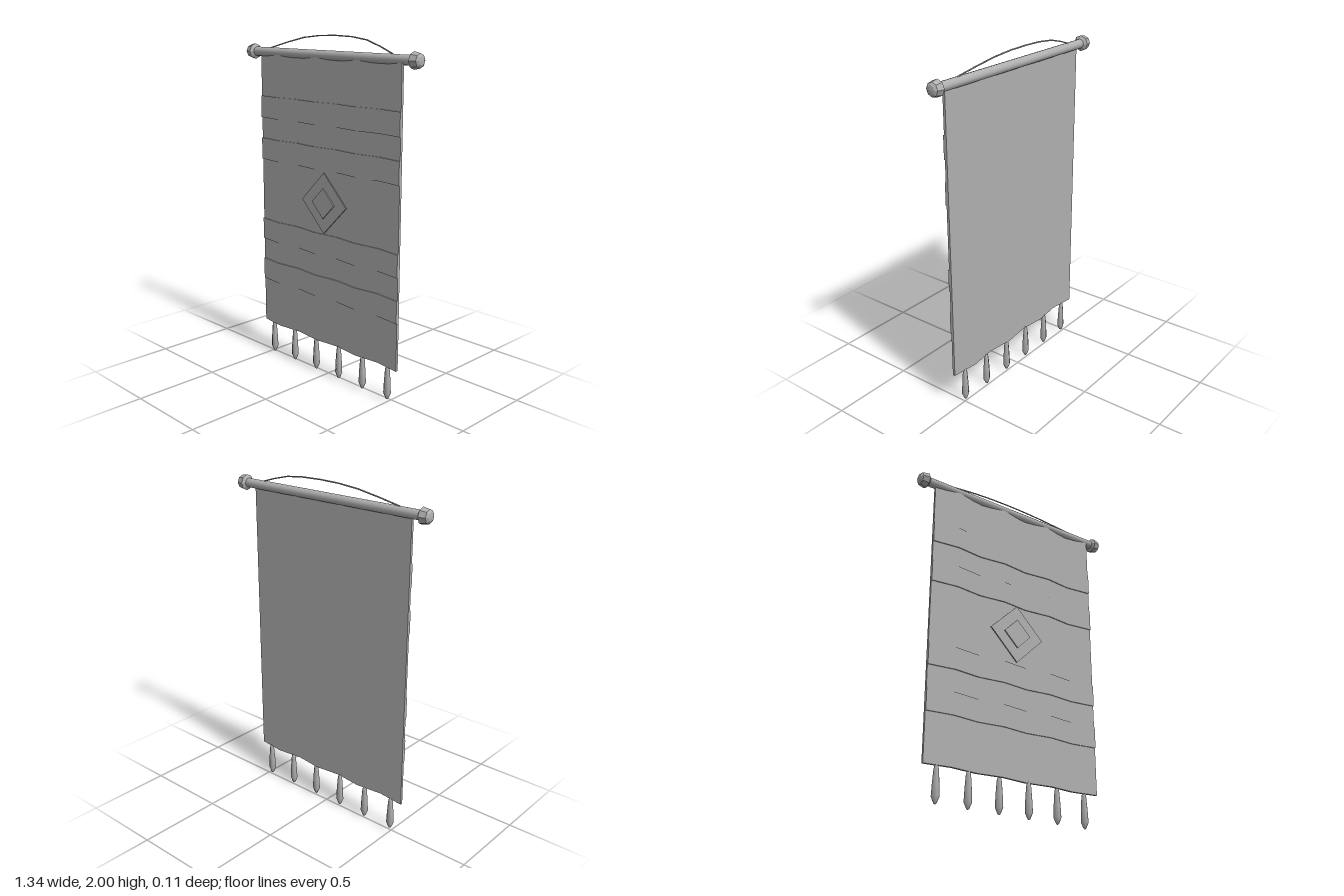
import * as THREE from 'three';

const grey = new THREE.MeshStandardMaterial({ color: 0xb0b0b0 });
grey.name = 'plain grey';

const AXIS_Y = 1.89, AXIS_Z = 0.009;
const WIDTH = 1.12, FOLDS = 7;

function add(parent, name, geometry, x = 0, y = 0, z = 0) {
  const mesh = new THREE.Mesh(geometry, grey);
  mesh.name = name;
  mesh.position.set(x, y, z);
  parent.add(mesh);
  return mesh;
}

// A slab of cloth with gentle vertical folds; zBack is its lowest back depth
function foldedSlab(y0, y1, zBack, depth) {
  const g = new THREE.BoxGeometry(WIDTH, y1 - y0, depth, FOLDS, 1, 1);
  g.translate(0, (y0 + y1) / 2, zBack + depth / 2);
  const p = g.attributes.position;
  for (let i = 0; i < p.count; i++) {
    const fold = Math.round((p.getX(i) / WIDTH + 0.5) * FOLDS);
    if (fold % 2) p.setZ(i, p.getZ(i) + 0.018);
  }
  return g;
}

function lathe(points, sides) {
  return new THREE.LatheGeometry(points.map(([r, y]) => new THREE.Vector2(r, y)), sides);
}

// A thin square plate standing on one corner
function diamond(radius, depth) {
  const side = radius * Math.SQRT2;
  return new THREE.BoxGeometry(side, side, depth).rotateZ(Math.PI / 4);
}

export function createModel() {
  const model = new THREE.Group();
  model.name = 'wallBanner';

  // Cloth and its raised bands
  add(model, 'cloth', foldedSlab(0.2, 1.885, 0, 0.015));
  for (const y of [1.565, 1.31, 0.805, 0.545]) {
    add(model, 'band', foldedSlab(y - 0.065, y + 0.065, 0.014, 0.007));
  }

  // Stacked diamond emblem
  add(model, 'outerDiamond', diamond(0.178, 0.007), 0, 1.058, 0.0395);
  add(model, 'innerDiamond', diamond(0.089, 0.007), 0, 1.058, 0.0465);

  // Hanging rod
  const rod = new THREE.CylinderGeometry(0.027, 0.027, 1.21, 12).rotateZ(Math.PI / 2);
  add(model, 'rod', rod, 0, AXIS_Y, AXIS_Z);

  // Faceted finials on both ends
  const finial = lathe([[0, 0], [0.027, 0.002], [0.046, 0.014], [0.038, 0.054], [0.024, 0.064], [0, 0.067]], 8)
    .toNonIndexed();
  finial.computeVertexNormals();
  for (const side of [-1, 1]) {
    add(model, 'finial', finial, side * 0.604, AXIS_Y, AXIS_Z).rotation.z = -side * Math.PI / 2;
  }

  // Tassels along the lower hem
  const tassel = lathe([[0, 0], [0.008, 0.006], [0.022, 0.04], [0.019, 0.11], [0.014, 0.18], [0.009, 0.205], [0, 0.206]], 6);
  for (let i = 0; i < 6; i++) {
    add(model, 'tassel', tassel, -0.48 + i * 0.192, 0, 0.012);
  }

  // Hanging cord leaning back from the rod
  const cord = new THREE.CatmullRomCurve3([
    [-0.48, 1.915, 0.008], [-0.24, 1.98, -0.043], [0, 1.996, -0.053],
    [0.24, 1.98, -0.043], [0.48, 1.915, 0.008],
  ].map((p) => new THREE.Vector3(...p)));
  add(model, 'cord', new THREE.TubeGeometry(cord, 8, 0.004, 6));

  return model;
}
